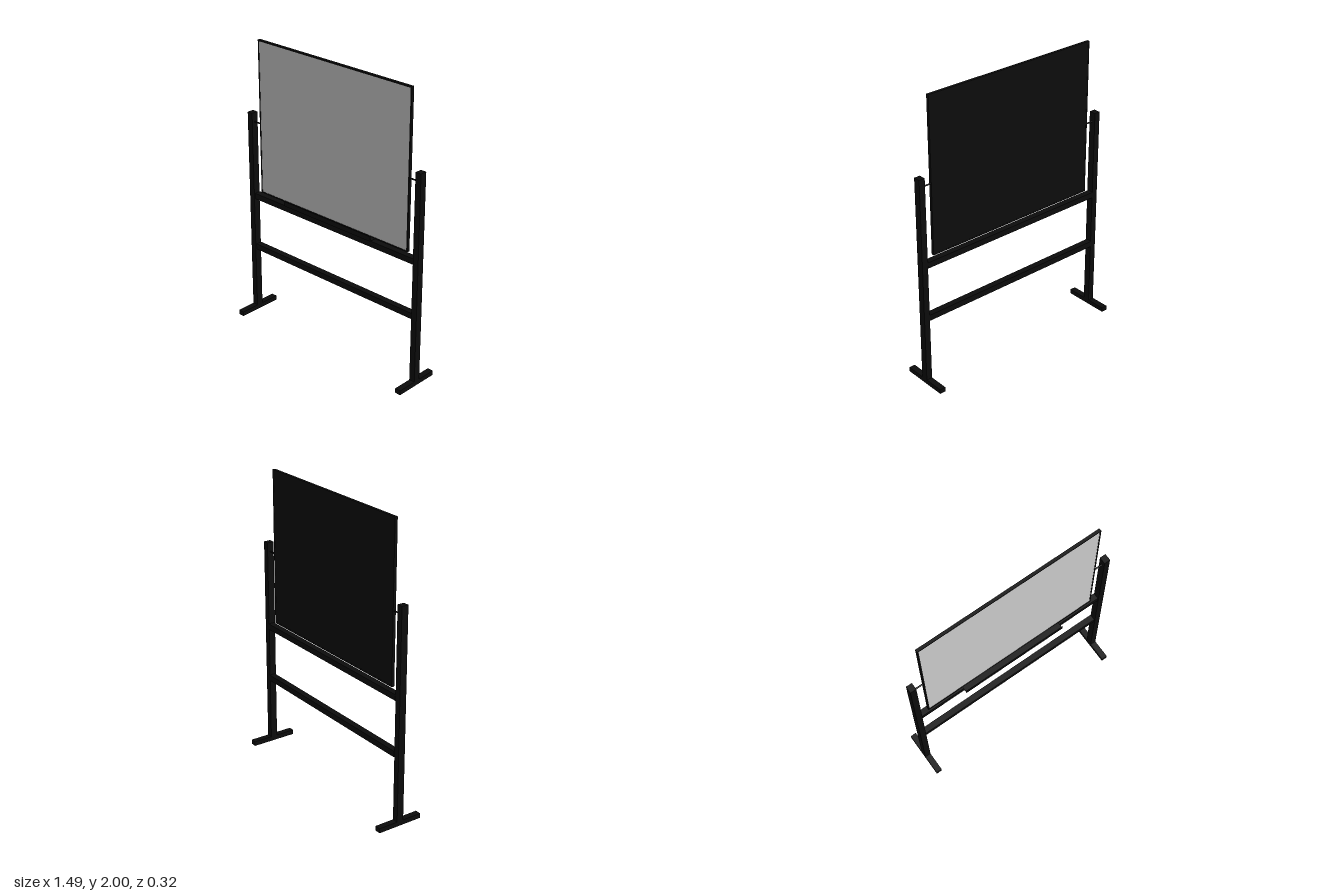
import * as THREE from 'three';

export function createModel() {
  const group = new THREE.Group();
  const black = new THREE.MeshStandardMaterial({ color: 0x0c0c0c });
  const grey = new THREE.MeshStandardMaterial({ color: 0xcccccc });

  // Box given by its lower and upper limits on each axis
  const box = (name, [x0, x1], [y0, y1], [z0, z1], material = black) => {
    const mesh = new THREE.Mesh(new THREE.BoxGeometry(x1 - x0, y1 - y0, z1 - z0), material);
    mesh.position.set((x0 + x1) / 2, (y0 + y1) / 2, (z0 + z1) / 2);
    mesh.name = name;
    group.add(mesh);
    return mesh;
  };

  // Posts, feet and the pivot pins that carry the board
  for (const [side, s] of [['left', 1], ['right', -1]]) {
    const xs = s > 0 ? [0.703, 0.745] : [-0.745, -0.703];
    box(side + 'Post', xs, [0, 1.483], [-0.024, 0.024]);
    box(side + 'Foot', xs, [0, 0.032], [-0.162, 0.162]);
    const pin = new THREE.Mesh(new THREE.CylinderGeometry(0.005, 0.005, 0.07, 12), black);
    pin.rotation.z = Math.PI / 2;
    pin.position.set(s * 0.673, 1.418, 0);
    pin.name = side + 'PivotPin';
    group.add(pin);
  }

  // Cross rails
  box('upperRail', [-0.703, 0.703], [0.859, 0.9], [-0.027, 0.016]);
  box('lowerRail', [-0.703, 0.703], [0.474, 0.515], [-0.027, 0.016]);

  // Board: dark backing, light writing surface, thin frame
  const [left, right, bottom, top, edge] = [-0.645, 0.645, 0.923, 2, 0.009];
  box('boardBacking', [left + edge, right - edge], [bottom + edge, top - edge], [-0.009, 0.004]);
  box('writingSurface', [left + edge, right - edge], [bottom + edge, top - edge], [0.004, 0.008], grey);
  const depth = [-0.01, 0.01];
  box('frameBottom', [left, right], [bottom, bottom + edge], depth);
  box('frameTop', [left, right], [top - edge, top], depth);
  box('frameRight', [left, left + edge], [bottom + edge, top - edge], depth);
  box('frameLeft', [right - edge, right], [bottom + edge, top - edge], depth);

  // Pen tray with an upturned front lip
  box('trayShelf', [-0.382, 0.382], [0.923, 0.927], [0.01, 0.058]);
  box('trayLip', [-0.382, 0.382], [0.927, 0.957], [0.055, 0.058]);

  return group;
}
